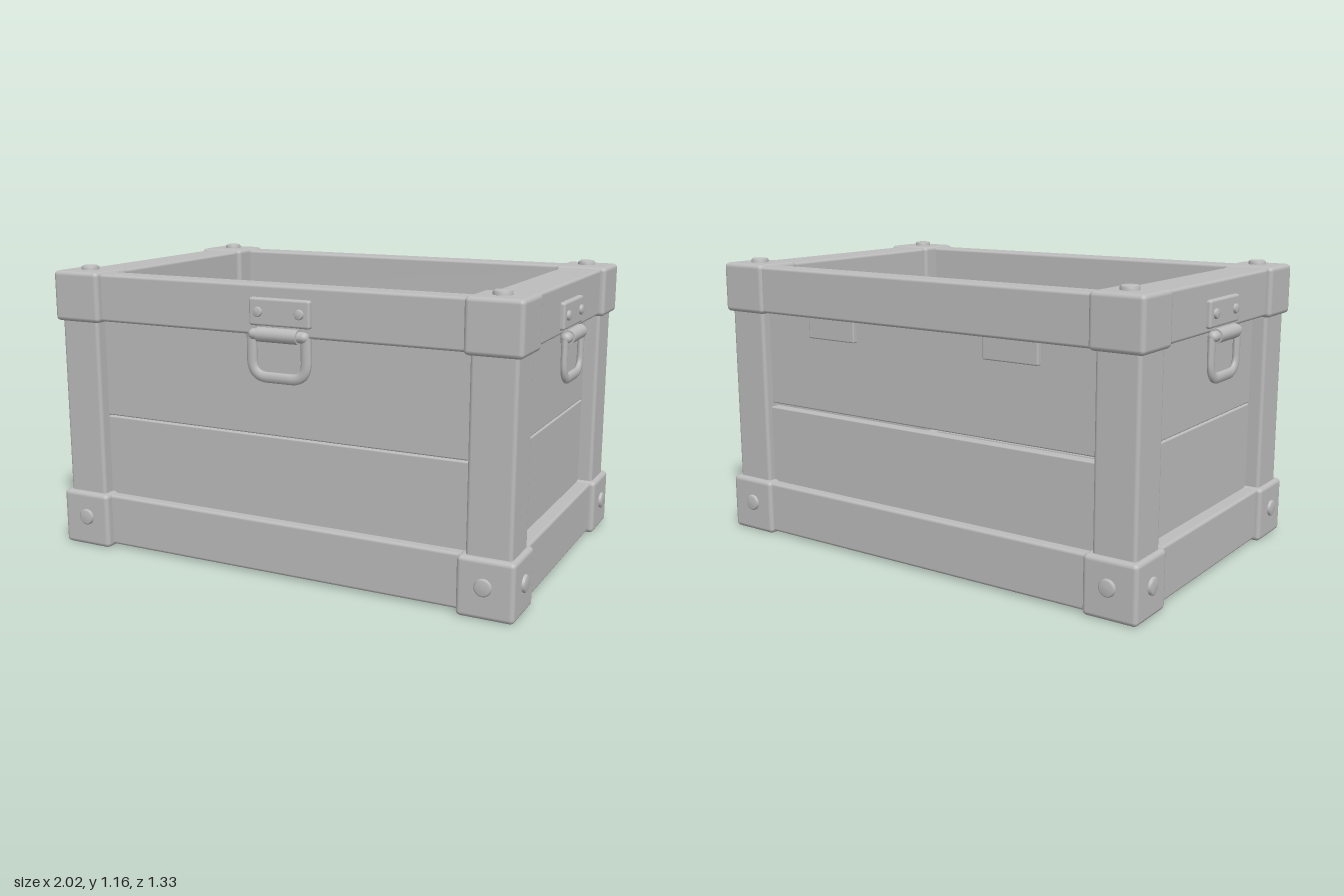
import * as THREE from 'three';
import { RoundedBoxGeometry } from 'three/addons/geometries/RoundedBoxGeometry.js';

const grey = new THREE.MeshStandardMaterial({ color: 0xbcbcbc });
grey.name = 'plain grey';

function add(parent, name, geometry, x = 0, y = 0, z = 0) {
  const mesh = new THREE.Mesh(geometry, grey);
  mesh.name = name;
  mesh.position.set(x, y, z);
  parent.add(mesh);
  return mesh;
}

// Softly rounded block given by its extents on each axis
function block(parent, name, [x0, x1], [y0, y1], [z0, z1], r = 0.012) {
  const w = x1 - x0, h = y1 - y0, d = z1 - z0;
  const radius = Math.min(r, w * 0.4, h * 0.4, d * 0.4);
  return add(parent, name, new RoundedBoxGeometry(w, h, d, 2, radius),
    (x0 + x1) / 2, (y0 + y1) / 2, (z0 + z1) / 2);
}

// Low domed rivet whose axis points along dir
function rivet(parent, pos, dir, r = 0.035, h = 0.018) {
  const profile = [[r, -0.01], [r, h * 0.6], [r * 0.8, h * 0.95], [0, h]]
    .map(([a, b]) => new THREE.Vector2(a, b));
  const mesh = add(parent, 'rivet', new THREE.LatheGeometry(profile, 20), ...pos);
  mesh.quaternion.setFromUnitVectors(new THREE.Vector3(0, 1, 0), new THREE.Vector3(...dir));
}

// Drop handle facing +z; z = 0 is the surface it is mounted on
function makeHandle() {
  const handle = new THREE.Group();
  handle.name = 'dropHandle';
  block(handle, 'handlePlate', [-0.128, 0.128], [0.975, 1.08], [-0.01, 0.02], 0.01);
  block(handle, 'hingeTab', [-0.085, 0.085], [0.92, 0.99], [-0.01, 0.016], 0.008);
  for (const s of [-1, 1]) rivet(handle, [s * 0.087, 1.028, 0.02], [0, 0, 1], 0.019, 0.012);

  // hinge barrel and the bail's pin
  const barrel = add(handle, 'hingeBarrel', new THREE.CylinderGeometry(0.028, 0.028, 0.17, 16), 0, 0.945, 0.022);
  barrel.rotation.z = Math.PI / 2;
  const pin = add(handle, 'hingePin', new THREE.CapsuleGeometry(0.021, 0.21, 4, 12), 0, 0.945, 0.022);
  pin.rotation.z = Math.PI / 2;

  // U-shaped bail
  const v = (x, y) => new THREE.Vector3(x, y, 0);
  const path = new THREE.CurvePath();
  path.add(new THREE.LineCurve3(v(-0.114, 0.945), v(-0.114, 0.85)));
  path.add(new THREE.QuadraticBezierCurve3(v(-0.114, 0.85), v(-0.114, 0.785), v(-0.05, 0.785)));
  path.add(new THREE.LineCurve3(v(-0.05, 0.785), v(0.05, 0.785)));
  path.add(new THREE.QuadraticBezierCurve3(v(0.05, 0.785), v(0.114, 0.785), v(0.114, 0.85)));
  path.add(new THREE.LineCurve3(v(0.114, 0.85), v(0.114, 0.945)));
  const bail = add(handle, 'bail', new THREE.TubeGeometry(path, 60, 0.021, 10), 0, 0, 0.02);
  bail.scale.z = 0.6;
  return handle;
}

export function createModel() {
  const crate = new THREE.Group();
  crate.name = 'crate';

  // Corner posts, caps and rivets
  for (const sx of [-1, 1]) for (const sz of [-1, 1]) {
    const span = (s, a, b) => (s > 0 ? [a, b] : [-b, -a]);
    block(crate, 'cornerPost', span(sx, 0.79, 0.965), [0.1, 1.05], span(sz, 0.45, 0.625), 0.015);
    block(crate, 'bottomCap', span(sx, 0.765, 0.985), [0, 0.228], span(sz, 0.43, 0.65), 0.018);
    block(crate, 'topCap', span(sx, 0.77, 0.985), [0.942, 1.145], span(sz, 0.435, 0.645), 0.018);
    rivet(crate, [sx * 0.875, 1.145, sz * 0.545], [0, 1, 0]);
    rivet(crate, [sx * 0.87, 0.125, sz * 0.65], [0, 0, sz], 0.033, 0.013);
    rivet(crate, [sx * 0.985, 0.122, sz * 0.54], [sx, 0, 0], 0.033, 0.013);
  }

  // Rim and base beams
  for (const [name, y] of [['rimBeam', [0.947, 1.137]], ['baseBeam', [0.01, 0.222]]]) {
    block(crate, name, [-0.85, 0.85], y, [0.515, 0.615]);
    block(crate, name, [-0.85, 0.85], y, [-0.635, -0.53]);
    for (const s of [-1, 1]) {
      block(crate, name, s > 0 ? [0.79, 0.962] : [-0.962, -0.79], y, [-0.55, 0.55]);
    }
  }

  // Wall planks
  const wall = 'wallPlank';
  block(crate, wall, [-0.82, 0.82], [0.08, 0.55], [0.535, 0.575], 0.006);
  block(crate, wall, [-0.82, 0.82], [0.554, 1.0], [0.535, 0.575], 0.006);
  block(crate, wall, [-0.82, 0.82], [0.08, 0.545], [-0.595, -0.55], 0.006);
  block(crate, wall, [-0.82, 0.82], [0.56, 1.0], [-0.585, -0.545], 0.006);
  for (const s of [-1, 1]) {
    const x = s > 0 ? [0.86, 0.905] : [-0.905, -0.86];
    block(crate, wall, x, [0.08, 0.58], [-0.5, 0.5], 0.006);
    block(crate, wall, x, [0.584, 0.94], [-0.5, 0.5], 0.006);
    block(crate, wall, x, [0.93, 1.0], [-0.5, 0.5], 0.006);
  }

  // Floor panel, planks and cross battens
  add(crate, 'floorPanel', new THREE.BoxGeometry(1.72, 0.03, 1.12), 0, 0.07, -0.005);
  for (const z of [[-0.54, -0.23], [-0.15, 0.16], [0.21, 0.53]]) {
    block(crate, 'floorPlank', [-0.85, 0.85], [0.08, 0.11], z, 0.006);
  }
  for (const [x, z, tilt] of [[-0.318, -0.01, -0.008], [0.34, -0.02, 0.008]]) {
    const batten = block(crate, 'floorBatten', [x - 0.023, x + 0.023], [0.105, 0.135], [z - 0.475, z + 0.475], 0.006);
    batten.rotation.y = tilt;
  }

  // Drop handles on the front and both ends
  const front = makeHandle();
  front.position.set(0.05, 0.01, 0.615);
  const left = makeHandle();
  left.rotation.y = Math.PI / 2;
  left.position.set(0.96, -0.008, -0.01 + 0.02);
  const right = makeHandle();
  right.rotation.y = -Math.PI / 2;
  right.position.set(-0.96, -0.008, 0.005);
  crate.add(front, left, right);

  // Hinge plates under the back rim
  for (const s of [-1, 1]) {
    block(crate, 'hingePlate', [s * 0.43 - 0.12, s * 0.43 + 0.12], [0.86, 1.0], [-0.605, -0.57], 0.006);
  }
  return crate;
}
